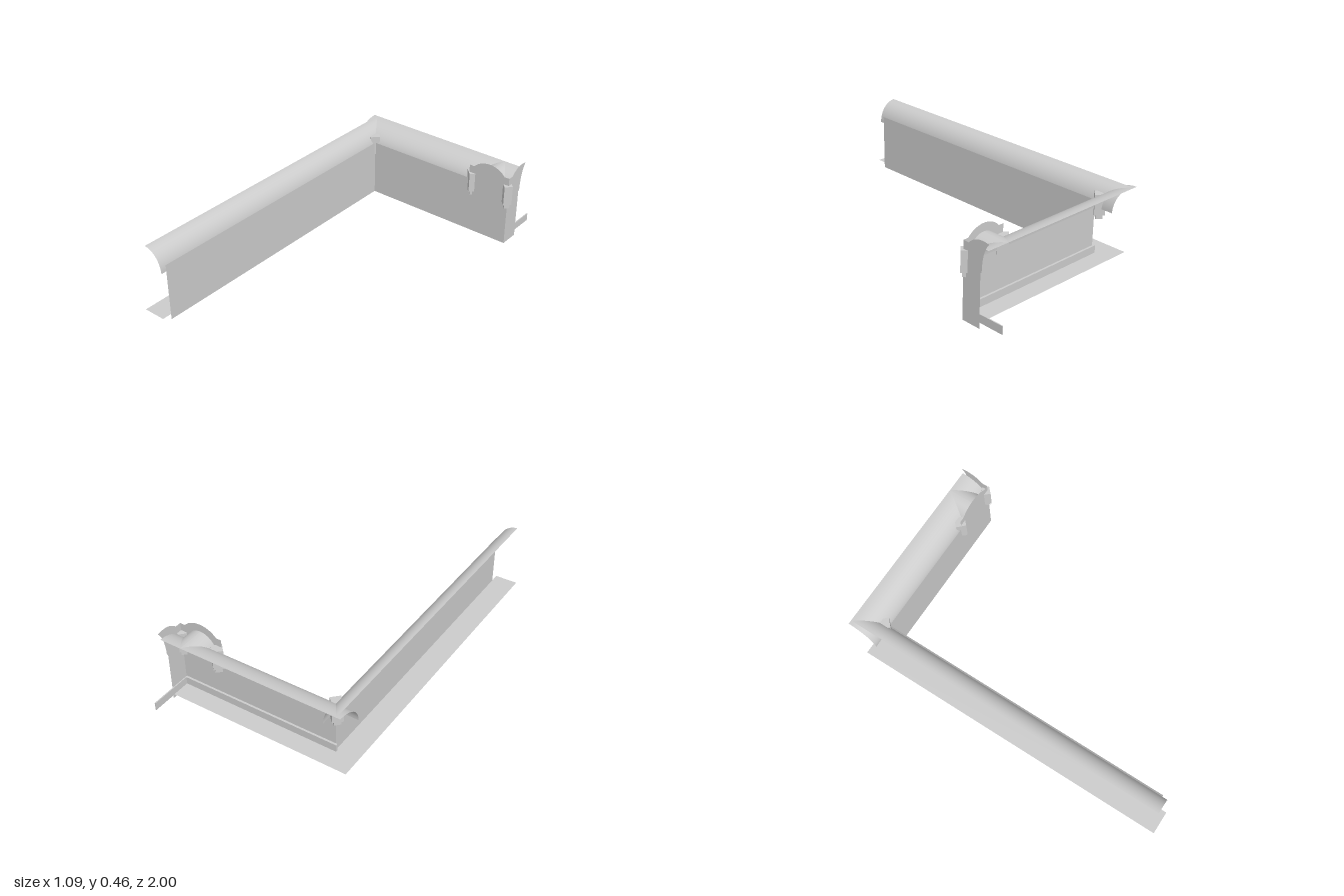
import * as THREE from 'three';

const mat = new THREE.MeshStandardMaterial({ color: 0xcccccc, side: THREE.DoubleSide });
const WX = -0.415, WZ = -0.745; // planes of the side and back walls

export function createModel() {
  const group = new THREE.Group();
  const add = (geo, name, parent = group) => {
    const mesh = new THREE.Mesh(geo, mat);
    mesh.name = name;
    parent.add(mesh);
    return mesh;
  };

  // flat panel standing in a plane of constant x, drawn in (z, y)
  const sidePanel = (shape, x, name) => {
    const m = add(new THREE.ShapeGeometry(shape, 16), name);
    m.rotation.y = -Math.PI / 2;
    m.position.x = x;
  };
  const poly = pts => new THREE.Shape(pts.map(p => new THREE.Vector2(...p)));

  // quarter-round sheet: u runs along it, place(u, depth, y) gives the position
  const cove = (depth, place, name) => {
    const geo = new THREE.PlaneGeometry(1, 1, 1, 16);
    const p = geo.attributes.position;
    for (let i = 0; i < p.count; i++) {
      const t = (p.getY(i) + 0.5) * Math.PI / 2;
      const d = 0.003 + depth * (1 - Math.cos(t));
      p.setXYZ(i, ...place(p.getX(i) + 0.5, d, 0.295 + 0.125 * Math.sin(t)));
    }
    geo.computeVertexNormals();
    return add(geo, name);
  };
  const mix = THREE.MathUtils.lerp;

  // back wall with the round-topped gable panel at its left end
  const wall = new THREE.Shape();
  wall.moveTo(WX, 0);
  wall.lineTo(0.52, 0);
  wall.lineTo(0.52, 0.42);
  wall.lineTo(0.49, 0.42);
  wall.quadraticCurveTo(0.45, 0.463, 0.39, 0.464);
  wall.quadraticCurveTo(0.33, 0.463, 0.29, 0.42);
  wall.lineTo(0.26, 0.42);
  wall.lineTo(0.26, 0.335);
  wall.lineTo(WX, 0.335);
  add(new THREE.ShapeGeometry(wall, 16), 'backWall').position.z = WZ;

  // long side wall
  sidePanel(poly([[WZ, 0], [0.945, 0], [0.945, 0.335], [WZ, 0.335]]), WX, 'sideWall');

  // short return wall with a curved horn at the top
  const ret = new THREE.Shape();
  ret.moveTo(WZ, 0);
  ret.lineTo(WZ, 0.42);
  ret.lineTo(-0.78, 0.42);
  ret.quadraticCurveTo(-0.83, 0.474, -0.91, 0.455);
  ret.quadraticCurveTo(-0.868, 0.41, -0.866, 0.295);
  ret.lineTo(-0.858, 0.295);
  ret.lineTo(-0.858, 0);
  sidePanel(ret, 0.52, 'returnWall');

  // cornices crossing at the corner; the side one is trimmed along the rear slope
  cove(0.105, (u, d, y) => [WX - d, y, mix(-0.855 - 0.35 * d, 0.975, u)], 'sideCornice');
  cove(0.155, (u, d, y) => [mix(-0.545, 0.515, u), y, WZ - d], 'backCornice');

  // vault behind the gable: two mirrored quarter rounds mitred into the back cornice
  for (const s of [-1, 1])
    cove(0.103, (u, d, y) => [0.39 + s * (0.106 - d), y, mix(WZ - 1.5 * d, WZ, u)], 'gableVault');

  // flat base flange, an L behind the walls
  const flange = add(new THREE.ShapeGeometry(poly([
    [-0.545, -1], [WX, -1], [WX, -WZ], [0.52, -WZ], [0.52, 0.86], [-0.545, 0.86],
  ])), 'baseFlange');
  flange.rotation.x = -Math.PI / 2;
  flange.position.y = 0.033;

  // low rail along the back wall and its extension past the return wall
  add(new THREE.BoxGeometry(0.938, 0.045, 0.012), 'backRail').position.set(0.045, 0.053, WZ - 0.007);
  add(new THREE.BoxGeometry(0.006, 0.045, 0.25), 'returnRail').position.set(0.513, 0.053, -0.875);

  // diamond posts set through the wall, each with a smaller foot
  const diamond = (r, y0, y1, name, parent) => {
    const geo = new THREE.CylinderGeometry(r, r, y1 - y0, 4).toNonIndexed();
    geo.computeVertexNormals();
    add(geo, name, parent).position.y = (y0 + y1) / 2;
  };
  for (const [x, z, r] of [[-0.432, -0.762, 0.04], [0.277, -0.762, 0.04], [0.511, -0.751, 0.033]]) {
    const b = new THREE.Group();
    b.name = 'bracket';
    b.position.set(x, 0, z);
    diamond(r, 0.26, 0.375, 'bracketBody', b);
    diamond(r * 0.65, 0.234, 0.26, 'bracketFoot', b);
    group.add(b);
  }

  return group;
}
